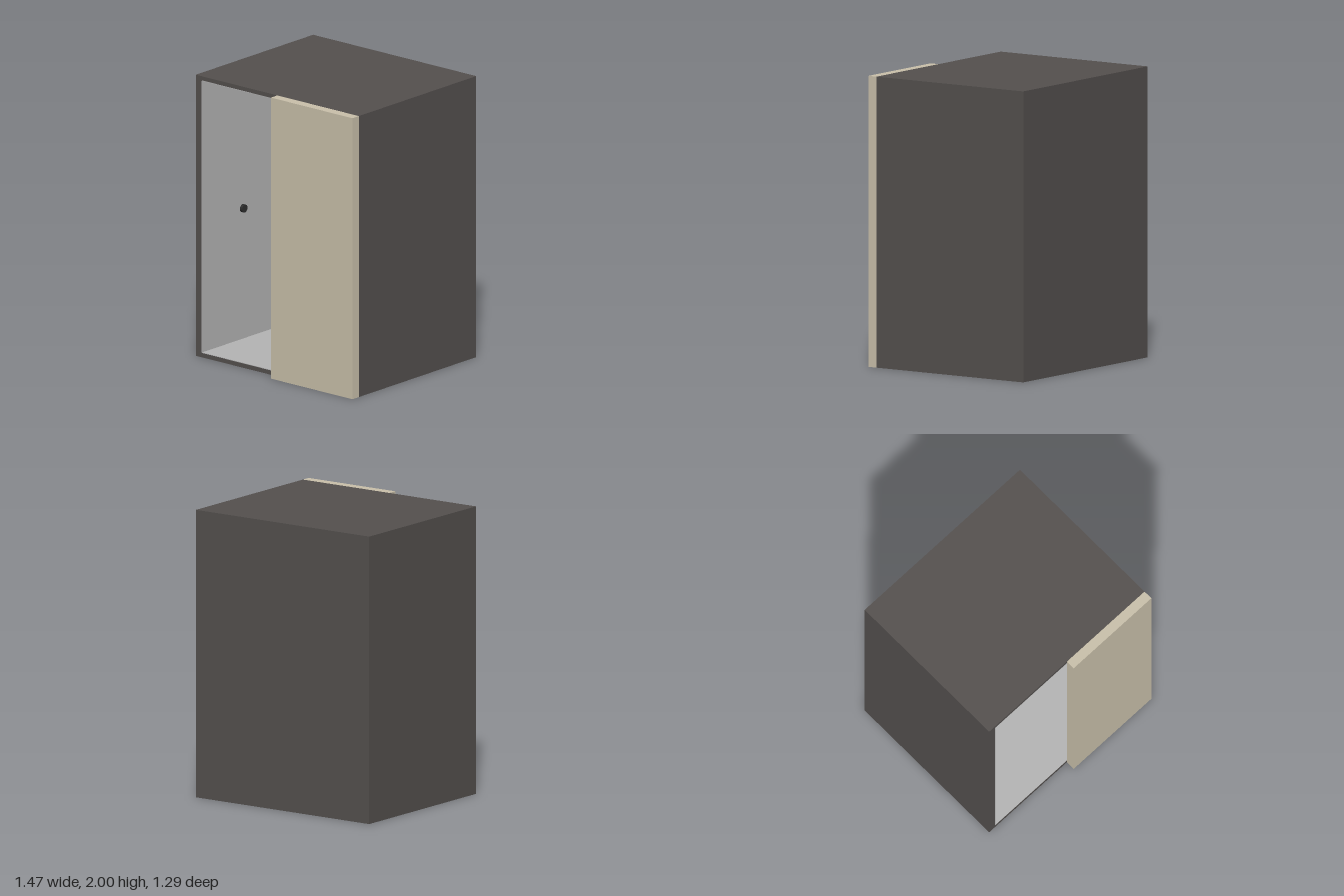
import * as THREE from 'three';

const W = 1.465, H = 2, BACK = -0.645, FRONT = 0.578;
const IN = { x: 0.675, y0: 0.035, y1: 1.967, z: -0.26 }; // cabin interior limits
const T = 0.004; // lining thickness

const mat = (color) => new THREE.MeshStandardMaterial({ color });

export function createModel() {
  const model = new THREE.Group();
  const dark = mat(0x54504e), grey = mat(0xb4b4b4), beige = mat(0xc9c0aa), black = mat(0x4c4c4c);

  const add = (name, geometry, material, x, y, z) => {
    const mesh = new THREE.Mesh(geometry, material);
    mesh.name = name;
    mesh.position.set(x, y, z);
    model.add(mesh);
    return mesh;
  };
  // box given by its limits
  const block = (name, material, x0, x1, y0, y1, z0, z1) =>
    add(name, new THREE.BoxGeometry(x1 - x0, y1 - y0, z1 - z0), material,
      (x0 + x1) / 2, (y0 + y1) / 2, (z0 + z1) / 2);
  const rect = (path, x0, x1, y0, y1) =>
    path.moveTo(x0, y0).lineTo(x1, y0).lineTo(x1, y1).lineTo(x0, y1).closePath();

  // outer cabin: hollow front frame and solid rear
  const frame = rect(new THREE.Shape(), -W / 2, W / 2, 0, H);
  frame.holes.push(rect(new THREE.Path(), -IN.x - T, IN.x + T, IN.y0 - T, IN.y1 + T));
  const rear = IN.z - T;
  add('cabinShell', new THREE.ExtrudeGeometry(frame, { depth: FRONT - rear, bevelEnabled: false }), dark, 0, 0, rear);
  block('cabinRear', dark, -W / 2, W / 2, 0, H, BACK, rear);

  // interior lining
  block('floor', grey, -IN.x, IN.x, IN.y0 - T, IN.y0, IN.z, FRONT);
  block('ceiling', grey, -IN.x, IN.x, IN.y1, IN.y1 + T, IN.z, FRONT);
  block('backWall', grey, -IN.x, IN.x, IN.y0, IN.y1, rear, IN.z);
  block('rightWall', grey, -IN.x - T, -IN.x, IN.y0, IN.y1, IN.z, FRONT);
  block('leftWall', grey, IN.x, IN.x + T, IN.y0, IN.y1, IN.z, FRONT);

  // sliding door covering the left half
  block('door', beige, 0, W / 2, 0, H, FRONT, 0.645);

  // control panel with buttons on the back wall
  block('controlPanel', mat(0xcac7ba), -0.505, -0.225, 0.887, 1.28, IN.z, IN.z + 0.02);
  const buttonGeometry = new THREE.CylinderGeometry(0.028, 0.028, 0.02, 24);
  for (const y of [1.225, 1.135, 1.048, 0.943]) {
    add('button', buttonGeometry, black, -0.367, y, IN.z + 0.03).rotation.x = Math.PI / 2;
  }

  // single button on the side wall
  add('wallButton', buttonGeometry, mat(0x2e2e2e), -IN.x + 0.01, 0.965, 0.157).rotation.z = Math.PI / 2;

  return model;
}
